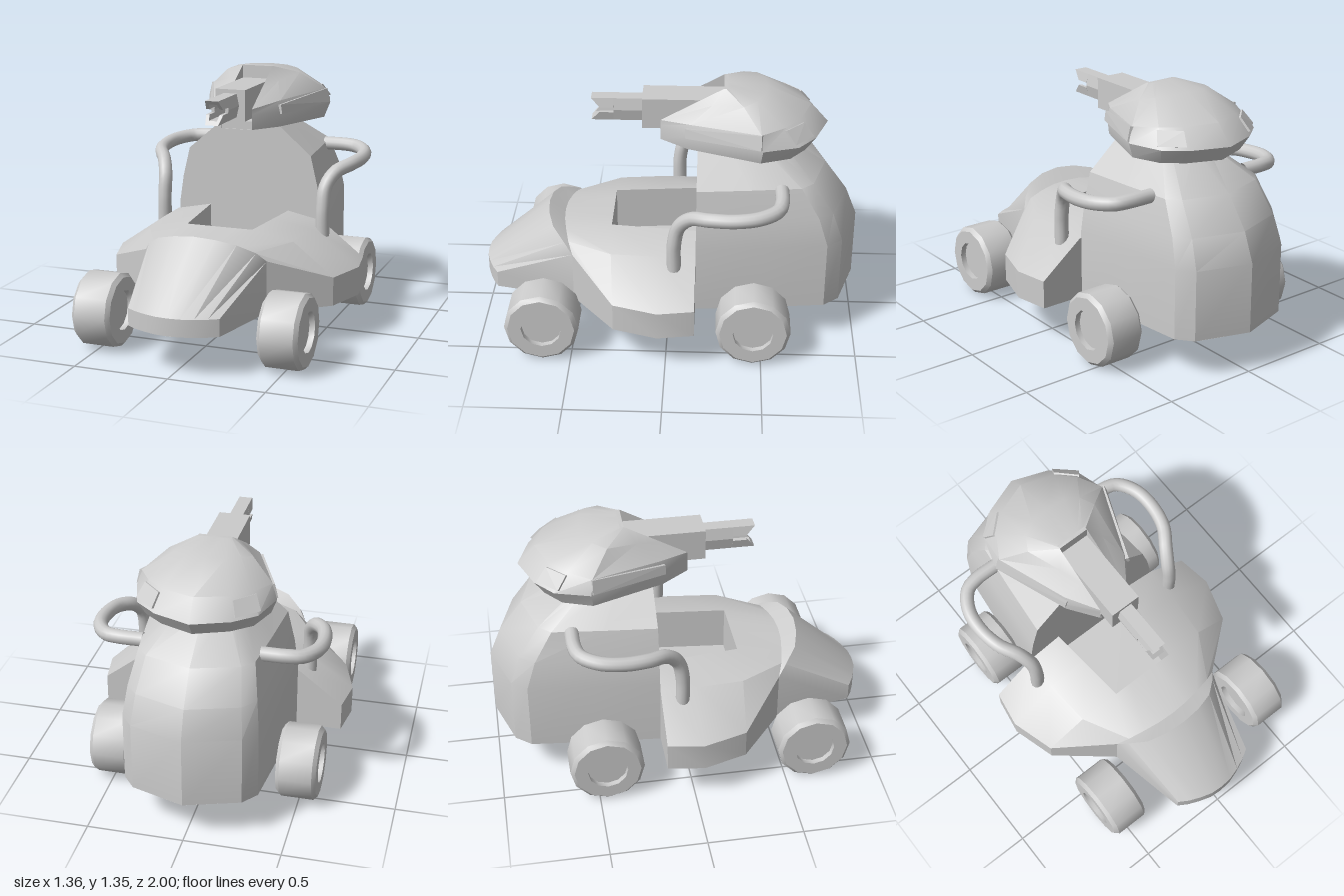
import * as THREE from 'three';
import { mergeGeometries, toCreasedNormals } from 'three/addons/utils/BufferGeometryUtils.js';
import { ConvexGeometry } from 'three/addons/geometries/ConvexGeometry.js';

const material = new THREE.MeshStandardMaterial({ color: 0xcccccc, side: THREE.DoubleSide });

// Surface through rows of [x, y, z] points
function grid(rows) {
  const pos = [], n = rows[0].length;
  for (let i = 0; i < rows.length - 1; i++) {
    for (let j = 0; j < n - 1; j++) {
      const a = rows[i][j], b = rows[i][j + 1], c = rows[i + 1][j + 1], d = rows[i + 1][j];
      pos.push(...a, ...b, ...c, ...a, ...c, ...d);
    }
  }
  const g = new THREE.BufferGeometry();
  g.setAttribute('position', new THREE.Float32BufferAttribute(pos, 3));
  return g;
}
const flip = ([x, y, z]) => [-x, y, z];
// Half outline ending on the centre line -> whole outline
const sym = half => [...half, ...half.slice(0, -1).reverse().map(flip)];
const bothSides = rows => [grid(rows), grid(rows.map(r => r.map(flip).reverse()))];

// Flat polygon of [u, v] points
function flat(points) {
  const g = new THREE.ShapeGeometry(new THREE.Shape(points.map(p => new THREE.Vector2(...p)))).toNonIndexed();
  g.deleteAttribute('uv');
  g.deleteAttribute('normal');
  return g;
}
const underside = (pts, y) => flat(pts).rotateX(Math.PI / 2).translate(0, y, 0);
const mirror2 = pts => [...pts, ...[...pts].reverse().map(([x, y]) => [-x, y])];

export function createModel() {
  const model = new THREE.Group();
  const add = (name, geo, parent = model) => {
    const m = new THREE.Mesh(geo, material);
    m.name = name;
    parent.add(m);
    return m;
  };
  const shell = (name, parts, parent) => add(name, toCreasedNormals(mergeGeometries(parts), 0.55), parent);

  // Rear body: one plan outline shrinking towards the top
  const plan = [[0.41, -0.15], [0.38, -0.5], [0.345, -0.83], [0.28, -0.91], [0, -1]];
  const levels = [[0.22, 0.41, -1], [0.59, 0.41, -1], [0.74, 0.388, -0.94], [0.9, 0.35, -0.82], [1.06, 0.165, -0.55]];
  const bodyRows = levels.map(([y, w, back]) =>
    sym(plan.map(([x, z]) => [x * w / 0.41, y, -0.15 + (z + 0.15) * (-0.15 - back) / 0.85])));
  shell('rearBody', [
    grid(bodyRows),
    flat(mirror2(levels.map(([y, w]) => [w, y]))).translate(0, 0, -0.15),
    flat(mirror2([[0.165, 0.15], [0.14, 0.46], [0.113, 0.51], [0, 0.55]])).rotateX(-Math.PI / 2).translate(0, 1.06, 0),
  ]);

  // Deck: stations from back to front, each from the lower rim in to the foot well
  const deckArc = [[0.33, 0.49, 0.5], [0.27, 0.535, 0.525], [0.18, 0.555, 0.545], [0.09, 0.567, 0.56], [0, 0.57, 0.565]];
  const stations = [
    [[0.65, 0.22, -0.15], [0.65, 0.37, -0.15], [0.42, 0.55, -0.15], [0.225, 0.59, -0.15]],
    [[0.68, 0.22, 0.04], [0.68, 0.37, 0.04], [0.42, 0.55, 0.04], [0.206, 0.59, 0.04]],
    [[0.61, 0.22, 0.27], [0.61, 0.37, 0.27], [0.4, 0.545, 0.29], [0.18, 0.59, 0.3]],
    [[0.33, 0.22, 0.5], ...deckArc.slice(0, 3)],
  ];
  const backEdge = [[0.38, 0.22], [0.65, 0.22], [0.65, 0.37], [0.42, 0.55], [0.38, 0.558]];
  shell('deck', [
    ...bothSides(stations),
    grid([sym([[0.18, 0.59, 0.3], [0.09, 0.59, 0.3], [0, 0.59, 0.3]]), sym(deckArc.slice(2))]),
    flat(backEdge).rotateY(Math.PI).translate(0, 0, -0.15),
    flat(backEdge.map(([x, y]) => [-x, y])).rotateY(Math.PI).translate(0, 0, -0.15),
  ]);

  // Foot well
  const well = y => [[0.225, y, -0.15], [0.18, y, 0.3], [-0.18, y, 0.3], [-0.225, y, -0.15]];
  const floor = well(0.35);
  shell('footWell', [grid([floor, well(0.59)]), grid([[floor[0], floor[3]], [floor[1], floor[2]]])]);

  // Hood with its raised back lip and rounded nose
  const hoodArc = [[0.33, 0.49, 0.5], [0.29, 0.54, 0.545], [0.21, 0.59, 0.61], [0.11, 0.615, 0.64], [0, 0.625, 0.65]];
  const noseXZ = [[0.24, 0.92], [0.19, 0.95], [0.13, 0.975], [0.065, 0.995], [0, 1]];
  const nose = y => sym(noseXZ.map(([x, z]) => [x, y, z]));
  shell('hood', [
    grid([sym(deckArc), sym(hoodArc)]),
    grid([sym(hoodArc), nose(0.31)]),
    grid([nose(0.31), nose(0.22)]),
    ...bothSides([[[0.33, 0.22, 0.5], [0.33, 0.49, 0.5]], [[0.24, 0.22, 0.92], [0.24, 0.31, 0.92]]]),
  ]);

  // Flat floor pan under the whole vehicle
  shell('floorPan', [underside(mirror2([
    [0.02, -0.994], [0.28, -0.91], [0.345, -0.83], [0.41, -0.15], [0.65, -0.15], [0.68, 0.04],
    [0.61, 0.27], [0.33, 0.5], [0.24, 0.92], [0.13, 0.975], [0.02, 1],
  ]), 0.22)]);

  // Wheels with hubs recessed on both faces
  const wheelHalf = [[0, 0.075], [0.105, 0.075], [0.105, 0.105], [0.175, 0.105], [0.195, 0.085]];
  const wheelProfile = [...wheelHalf, ...[...wheelHalf].reverse().map(([r, h]) => [r, -h])]
    .reverse().map(p => new THREE.Vector2(...p));
  const wheelGeo = toCreasedNormals(new THREE.LatheGeometry(wheelProfile, 12), 0.6).rotateZ(Math.PI / 2);
  for (const side of [1, -1]) {
    for (const [name, z] of [['frontWheel', 0.647], ['rearWheel', -0.455]]) {
      add(name, wheelGeo).position.set(side * 0.495, 0.198, z);
    }
  }

  // Bent arms from the body to the deck
  const armPath = [[0.455, 0.5, -0.04], [0.455, 0.65, -0.04], [0.46, 0.76, -0.065], [0.495, 0.83, -0.13],
    [0.55, 0.857, -0.22], [0.575, 0.868, -0.35], [0.56, 0.877, -0.47], [0.5, 0.885, -0.56],
    [0.43, 0.89, -0.583], [0.3, 0.89, -0.585]];
  for (const side of [1, -1]) {
    const curve = new THREE.CatmullRomCurve3(armPath.map(([x, y, z]) => new THREE.Vector3(side * x, y, z)));
    add('arm', new THREE.TubeGeometry(curve, 36, 0.037, 12));
  }

  // Head: rings from the slot edge round to the back centre
  const head = new THREE.Group();
  head.name = 'head';
  model.add(head);
  const rings = [
    [[0.085, 1.06, 0.045], [0.19, 1.06, -0.1], [0.325, 1.06, -0.47], [0.27, 1.06, -0.62], [0.17, 1.06, -0.7], [0, 1.06, -0.765]],
    [[0.085, 1.14, 0.045], [0.2, 1.14, -0.1], [0.355, 1.14, -0.48], [0.3, 1.14, -0.66], [0.19, 1.14, -0.75], [0, 1.14, -0.82]],
    [[0.085, 1.17, 0.045], [0.19, 1.2, -0.11], [0.33, 1.22, -0.47], [0.26, 1.23, -0.59], [0.17, 1.235, -0.67], [0, 1.24, -0.73]],
    [[0.085, 1.25, -0.095], [0.14, 1.285, -0.22], [0.21, 1.315, -0.38], [0.17, 1.33, -0.45], [0.1, 1.337, -0.49], [0, 1.34, -0.5]],
    [[0.085, 1.355, -0.28], [0.085, 1.355, -0.28], [0.085, 1.355, -0.29], [0.07, 1.355, -0.3], [0.04, 1.355, -0.3], [0, 1.355, -0.3]],
  ];
  shell('headShell', [
    grid(rings.map(sym)),
    grid([[[0.085, 1.355, -0.3], [0, 1.355, -0.3], [-0.085, 1.355, -0.3]],
      [[0.085, 1.355, -0.28], [0, 1.355, -0.28], [-0.085, 1.355, -0.28]]]),
    underside(mirror2(rings[0].slice(0, -1).map(([x, , z]) => [x, z]).concat([[0.01, -0.763]])), 1.06),
  ], head);

  // Slot cut in the front of the head
  const cheek = [[-0.28, 1.06], [0.045, 1.06], [0.045, 1.17], [-0.095, 1.25], [-0.28, 1.355]];
  shell('slot', [
    flat(cheek).rotateY(-Math.PI / 2).translate(0.085, 0, 0),
    flat(cheek).rotateY(-Math.PI / 2).translate(-0.085, 0, 0),
    flat([[-0.085, 1.06], [0.085, 1.06], [0.085, 1.355], [-0.085, 1.355]]).translate(0, 0, -0.28),
  ], head);
  add('slotFloor', new THREE.BoxGeometry(0.17, 0.044, 0.324), head).position.set(0, 1.083, -0.118);

  // Side visors and rear corner panels
  function panel(name, corners, out) {
    for (const side of [1, -1]) {
      const pts = corners.flatMap(c => [1, -1].map(k =>
        new THREE.Vector3(side * (c[0] + k * out[0]), c[1] + k * out[1], c[2] + k * out[2])));
      add(name, new ConvexGeometry(pts), head);
    }
  }
  panel('visor', [[0.2, 1.13, -0.09], [0.192, 1.18, -0.09], [0.332, 1.22, -0.475], [0.35, 1.145, -0.475]], [0.009, 0.001, 0.004]);
  panel('rearPanel', [[0.2, 1.155, -0.732], [0.305, 1.155, -0.637], [0.272, 1.22, -0.59], [0.178, 1.22, -0.682]], [0.005, 0.003, -0.006]);

  // Nozzle: square housing, hollow barrel and two prongs with slanted tips
  add('housing', new THREE.BoxGeometry(0.164, 0.165, 0.42), head).position.set(0, 1.203, -0.07);
  const hex = (w, h, m) => [[m, 0], [w, h], [-w, h], [-m, 0], [-w, -h], [w, -h]].map(p => new THREE.Vector2(...p));
  const ring = new THREE.Shape(hex(0.035, 0.062, 0.048));
  ring.holes.push(new THREE.Path(hex(0.022, 0.042, 0.03)));
  add('barrel', new THREE.ExtrudeGeometry(ring, { depth: 0.15, bevelEnabled: false }), head).position.set(0, 1.203, 0.14);
  const half = [[0.046, 0.014], [0.035, 0.062], [-0.035, 0.062], [-0.046, 0.014],
    [-0.027, 0.014], [-0.022, 0.042], [0.022, 0.042], [0.027, 0.014]];
  for (const k of [1, -1]) {
    const shape = new THREE.Shape(half.map(([x, y]) => new THREE.Vector2(x, k * y)));
    const g = new THREE.ExtrudeGeometry(shape, { depth: 0.12, bevelEnabled: false });
    const p = g.attributes.position;
    for (let i = 0; i < p.count; i++) {
      if (p.getZ(i) > 0.1) p.setZ(i, 0.06 + Math.abs(p.getY(i)) * 0.9);
    }
    g.computeVertexNormals();
    add('prong', g, head).position.set(0, 1.203, 0.29);
  }
  return model;
}
